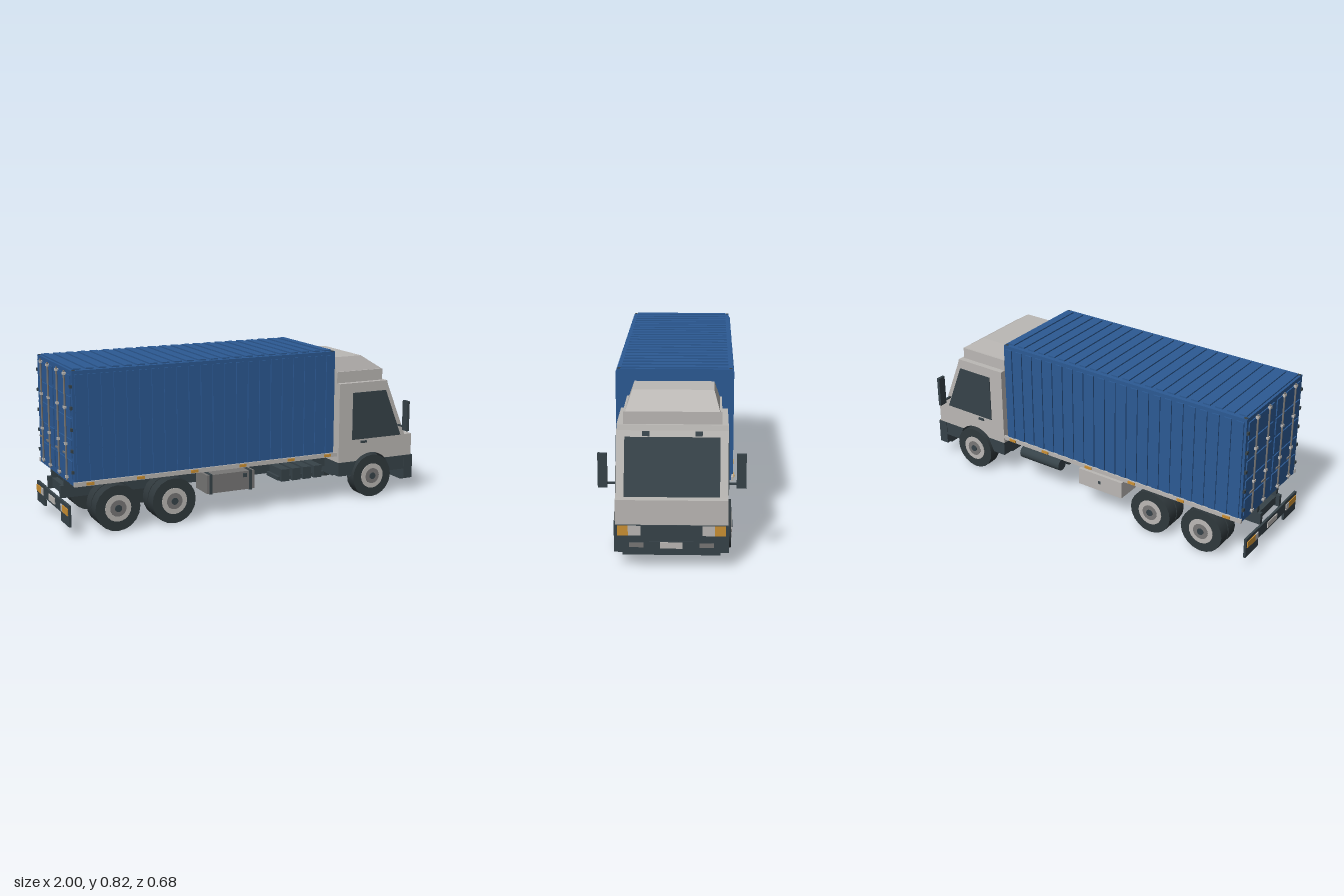
import * as THREE from 'three';

export function createModel() {
  const truck = new THREE.Group();
  truck.name = 'containerTruck';
  const mat = (name, color, side = THREE.FrontSide) => {
    const m = new THREE.MeshStandardMaterial({ color, side });
    m.name = name;
    return m;
  };
  const blue = mat('containerBlue', 0x2c5a94);
  const light = mat('cabGrey', 0xbbb8b5);
  const mid = mat('metalGrey', 0x787776);
  const dark = mat('darkSlate', 0x374349, THREE.DoubleSide);
  const tyreMat = mat('tyre', 0x30393d);
  const orange = mat('lampOrange', 0xcc9033);

  const add = (name, geo, m, parent = truck) => {
    const mesh = new THREE.Mesh(geo, m);
    mesh.name = name;
    parent.add(mesh);
    return mesh;
  };
  // Box given by its limits
  const box = (name, m, x0, x1, y0, y1, z0, z1, parent) => {
    const b = add(name, new THREE.BoxGeometry(x1 - x0, y1 - y0, z1 - z0), m, parent);
    b.position.set((x0 + x1) / 2, (y0 + y1) / 2, (z0 + z1) / 2);
    return b;
  };
  // Same box on both sides of the truck
  const pair = (name, m, x0, x1, y0, y1, z0, z1) => {
    box(name, m, x0, x1, y0, y1, z0, z1);
    box(name, m, x0, x1, y0, y1, -z1, -z0);
  };
  // Side profile extruded between two z values
  const prism = (name, m, shape, z0, z1) => {
    const s = Array.isArray(shape) ? new THREE.Shape(shape.map(p => new THREE.Vector2(...p))) : shape;
    const geo = new THREE.ExtrudeGeometry(s, { depth: z1 - z0, bevelEnabled: false, curveSegments: 10 });
    return add(name, geo.translate(0, 0, z0), m);
  };

  // Container with side and roof ribs
  box('container', blue, -0.965, 0.47, 0.252, 0.818, -0.283, 0.283);
  const ribs = 22, pitch = 1.435 / ribs;
  for (let i = 0; i < ribs; i++) {
    const x = -0.965 + (i + 0.5) * pitch, w = pitch * 0.3;
    pair('sideRib', blue, x - w, x + w, 0.278, 0.8, 0.282, 0.29);
    box('roofRib', blue, x - w, x + w, 0.817, 0.825, -0.262, 0.262);
  }
  for (const x of [-0.965, 0.445]) {
    pair('cornerSocket', dark, x + 0.003, x + 0.02, 0.817, 0.82, 0.266, 0.28);
  }

  // Rear doors: panels, hinges and locking rods
  for (const s of [-1, 1]) {
    for (let i = 0; i < 5; i++) {
      const y = 0.285 + i * 0.105;
      box('doorPanel', blue, -0.971, -0.964, y, y + 0.09, s * 0.14 - 0.125, s * 0.14 + 0.125);
      box('hinge', dark, -0.975, -0.964, y + 0.03, y + 0.045, s * 0.274 - 0.008, s * 0.274 + 0.008);
    }
    for (const z of [0.075, 0.195]) {
      const rod = add('lockRod', new THREE.CylinderGeometry(0.005, 0.005, 0.54, 8), mid);
      rod.position.set(-0.976, 0.54, s * z);
      for (const y of [0.285, 0.45, 0.63, 0.795]) {
        box('rodBracket', light, -0.983, -0.968, y - 0.006, y + 0.006, s * z - 0.01, s * z + 0.01);
      }
      box('lockHandle', mid, -0.982, -0.976, 0.4, 0.408, s * z - 0.04, s * z);
    }
  }

  // Side rails with marker lamps
  pair('deckRail', light, -0.97, 0.49, 0.253, 0.275, 0.28, 0.292);
  for (const x of [-0.89, -0.63, -0.34, -0.07, 0.21, 0.43]) {
    pair('markerLamp', orange, x - 0.02, x + 0.02, 0.257, 0.271, 0.291, 0.297);
  }

  // Chassis
  pair('chassisRail', dark, -0.985, 0.9, 0.155, 0.218, 0.09, 0.112);
  for (const x of [-0.95, -0.6, -0.3, -0.05, 0.2, 0.45]) {
    box('crossMember', dark, x - 0.015, x + 0.015, 0.165, 0.21, -0.1, 0.1);
    pair('deckSupport', dark, x - 0.015, x + 0.015, 0.21, 0.253, 0.09, 0.112);
  }

  // Wheels
  const disc = (name, m, r, x, z, w) => {
    const d = add(name, new THREE.CylinderGeometry(r, r, w, 20).rotateX(Math.PI / 2), m);
    d.position.set(x, 0.118, z);
  };
  for (const [x, dual] of [[-0.745, true], [-0.445, true], [0.72, false]]) {
    const axle = add('axle', new THREE.CylinderGeometry(0.025, 0.025, 0.44, 10).rotateX(Math.PI / 2), dark);
    axle.position.set(x, 0.118, 0);
    for (const s of [-1, 1]) {
      disc('tyre', tyreMat, 0.117, x, s * 0.244, 0.066);
      if (dual) disc('innerTyre', tyreMat, 0.117, x, s * 0.172, 0.064);
      disc('rim', light, 0.068, x, s * 0.2775, 0.006);
      disc('rimDish', mid, 0.042, x, s * 0.279, 0.007);
      disc('hub', dark, 0.018, x, s * 0.28, 0.012);
    }
  }

  // Fuel tank with straps and battery boxes on one side
  box('fuelTank', mid, -0.26, 0.01, 0.128, 0.225, 0.125, 0.265);
  for (const x of [-0.245, -0.02]) box('tankStrap', dark, x, x + 0.014, 0.124, 0.229, 0.122, 0.269);
  box('fuelCap', dark, -0.055, -0.035, 0.195, 0.215, 0.26, 0.272);
  box('batteryTray', dark, 0.16, 0.44, 0.145, 0.165, 0.11, 0.24);
  for (let i = 0; i < 4; i++) {
    const x = 0.175 + i * 0.065;
    box('battery', dark, x, x + 0.048, 0.14, 0.205, 0.12, 0.255);
  }

  // Toolbox and air cylinders on the other side
  box('toolbox', light, -0.26, 0.01, 0.128, 0.22, -0.265, -0.125);
  box('toolboxLock', dark, -0.13, -0.115, 0.17, 0.185, -0.269, -0.264);
  for (const z of [-0.225, -0.15]) {
    const tank = add('airCylinder', new THREE.CylinderGeometry(0.034, 0.034, 0.26, 14).rotateZ(Math.PI / 2), dark);
    tank.position.set(0.28, 0.175, z);
  }

  // Rear bumper with lamps and plate
  box('rearBumper', dark, -0.995, -0.983, 0.095, 0.155, -0.27, 0.27);
  pair('bumperEnd', dark, -0.995, -0.983, 0.05, 0.158, 0.14, 0.27);
  pair('rearLamp', orange, -1, -0.994, 0.105, 0.14, 0.18, 0.26);
  pair('reverseLamp', light, -1, -0.994, 0.105, 0.14, 0.15, 0.18);
  box('rearPlate', light, -1, -0.994, 0.108, 0.14, -0.05, 0.05);

  // Cab body with wheel arches
  const wx = 0.72, wy = 0.118, r = 0.127, a = Math.asin((0.205 - wy) / r);
  const cab = new THREE.Shape();
  cab.moveTo(0.518, 0.205);
  cab.lineTo(wx - r * Math.cos(a), 0.205);
  cab.absarc(wx, wy, r, Math.PI - a, a, true);
  for (const p of [[0.98, 0.205], [0.98, 0.325], [0.935, 0.325], [0.82, 0.61], [0.813, 0.635], [0.518, 0.635]]) cab.lineTo(...p);
  prism('cabBody', light, cab, -0.26, 0.26);
  const liner = add('wheelArchLiner', new THREE.CylinderGeometry(0.125, 0.125, 0.515, 20, 1, true, 0, Math.PI), dark);
  liner.geometry.rotateX(Math.PI / 2).rotateZ(Math.PI / 2);
  liner.position.set(wx, wy, 0);
  prism('rearSkirt', dark, [[0.518, 0.13], [0.594, 0.13], [0.6275, 0.205], [0.518, 0.205]], -0.262, 0.262);
  prism('frontSkirt', dark, [[0.846, 0.13], [0.94, 0.13], [0.94, 0.206], [0.8125, 0.206]], -0.262, 0.262);
  box('cabFloor', dark, 0.52, 0.94, 0.12, 0.23, -0.19, 0.19);

  // Roof step and wind deflector
  box('roofStep', light, 0.518, 0.8, 0.634, 0.695, -0.23, 0.23);
  const deflector = new THREE.BoxGeometry(0.282, 0.075, 0.44);
  const p = deflector.attributes.position;
  for (let i = 0; i < p.count; i++) {
    if (p.getY(i) > 0) {
      p.setZ(i, Math.sign(p.getZ(i)) * 0.193);
      if (p.getX(i) > 0) p.setX(i, 0.025);
    }
  }
  deflector.computeVertexNormals();
  add('windDeflector', deflector, light).position.set(0.659, 0.7325, 0);

  // Windows, door handles and roof lamps
  const slope = y => 0.935 - (y - 0.325) * 0.115 / 0.285;
  const onSlope = (name, m, y0, y1, z0, z1, t) =>
    prism(name, m, [[slope(y0) - 0.002, y0], [slope(y0) + t, y0], [slope(y1) + t, y1], [slope(y1) - 0.002, y1]], z0, z1);
  onSlope('windscreen', dark, 0.326, 0.582, -0.222, 0.222, 0.004);
  for (const s of [-1, 1]) {
    onSlope('roofLamp', dark, 0.588, 0.607, s * 0.123 - 0.017, s * 0.123 + 0.017, 0.012);
    prism('sideWindow', dark, [[0.6, 0.325], [0.907, 0.325], [0.805, 0.582], [0.6, 0.582]], s * 0.261 - 0.003, s * 0.261 + 0.003);
  }
  pair('doorHandle', dark, 0.655, 0.69, 0.303, 0.315, 0.259, 0.267);

  // Mirrors
  pair('mirror', dark, 0.892, 0.908, 0.36, 0.525, 0.298, 0.342);
  pair('mirrorArm', dark, 0.89, 0.902, 0.376, 0.384, 0.255, 0.3);

  // Front bumper, lamps and plate
  box('frontBumper', dark, 0.935, 0.988, 0.075, 0.206, -0.265, 0.265);
  box('bumperLip', dark, 0.94, 0.988, 0.062, 0.076, -0.225, 0.225);
  pair('indicator', orange, 0.985, 0.993, 0.158, 0.204, 0.2, 0.25);
  pair('headlight', light, 0.985, 0.993, 0.158, 0.204, 0.142, 0.2);
  pair('fogLamp', mid, 0.985, 0.992, 0.1, 0.121, 0.128, 0.196);
  box('plateFrame', dark, 0.985, 0.994, 0.094, 0.13, -0.102, 0.102);
  box('frontPlate', light, 0.99, 0.998, 0.097, 0.127, -0.052, 0.052);

  // Air intake behind the cab
  box('intakeStack', dark, 0.493, 0.519, 0.2, 0.75, -0.2, -0.16);

  return truck;
}
